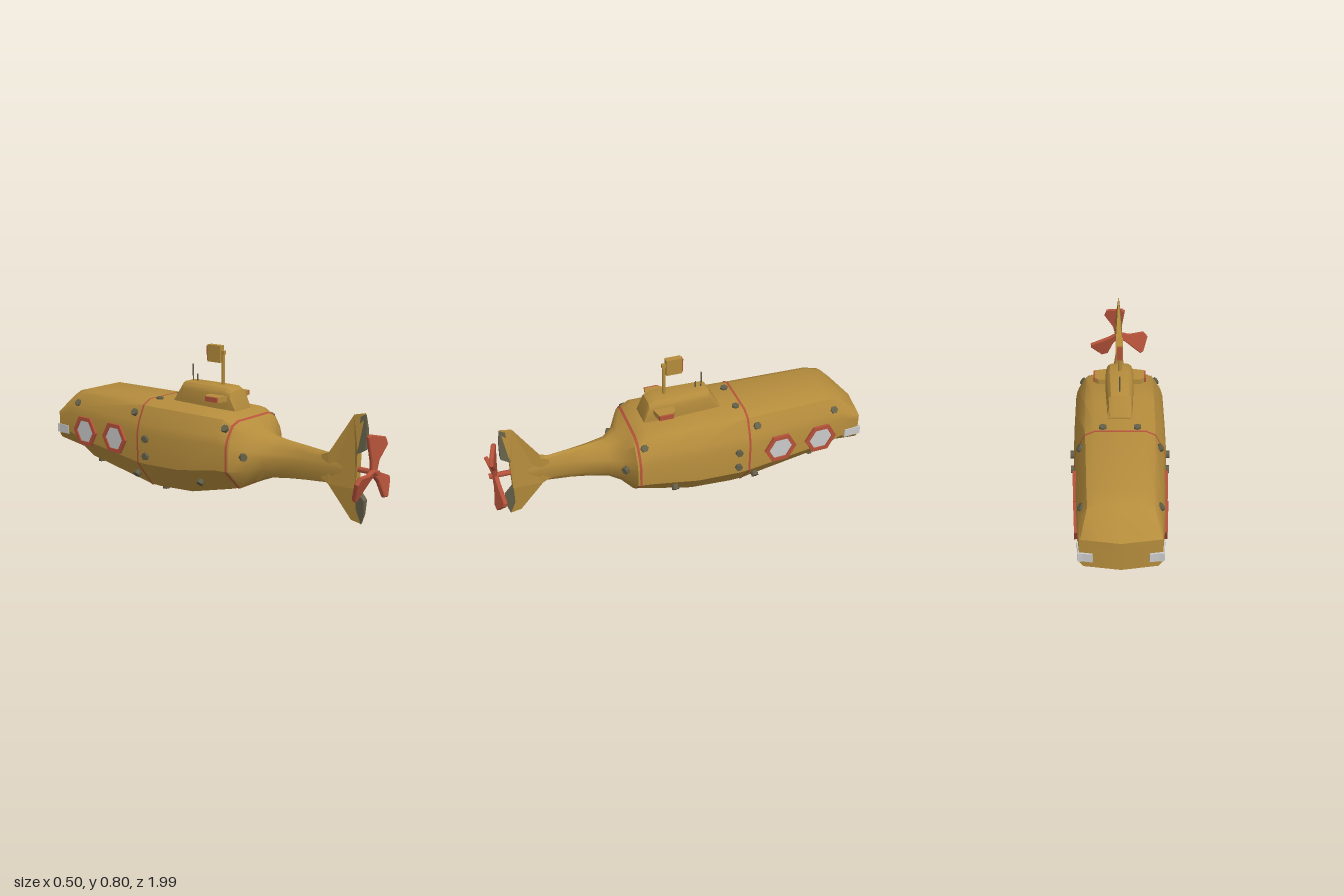
import * as THREE from 'three';
import { toCreasedNormals } from 'three/addons/utils/BufferGeometryUtils.js';

const mat = (name, color, side = THREE.FrontSide) => {
  const m = new THREE.MeshStandardMaterial({ color, side });
  m.name = name;
  return m;
};

// Half cross-sections as [fraction of half width, fraction of height], top centre to bottom centre
const HULL = [[0, 1], [.55, 1], [.76, .95], [.94, .77], [1, .65], [1, .31], [.5, 0], [0, 0]];
const NOSE = [[0, 1], [.5, 1], [.97, 1], [1, .97], [1, .8], [1, .15], [.9, 0], [0, 0]];
const TAIL = [[0, 1], [.4, .95], [.7, .82], [.92, .65], [1, .55], [.85, .25], [.45, .04], [0, 0]];
const TOWER = [[0, 1], [.4, 1], [.7, .97], [.9, .86], [1, .7], [1, .3], [1, 0], [0, 0]];

// Stations along the hull: z, half width, top, bottom, section
const HULL_RINGS = [
  [-.97, .19, .35, .195, NOSE], [-.87, .2, .468, .142, HULL], [-.79, .206, .49, .1, HULL],
  [-.34, .226, .49, .022, HULL], [-.28, .232, .49, .022, HULL], [-.05, .234, .49, .035, HULL],
  [.2, .232, .487, .096, HULL], [.27, .224, .448, .115, HULL], [.32, .15, .415, .138, TAIL],
  [.38, .092, .385, .163, TAIL], [.48, .055, .373, .178, TAIL], [.57, .035, .365, .188, TAIL],
  [.72, .021, .35, .2, TAIL], [.8, .016, .34, .21, TAIL],
];

// Closed ring of points from a station, mirrored left to right
function ringPoints([z, w, top, bottom, section], bow = 0) {
  const half = section.map(([fx, fy]) => [fx * w, bottom + fy * (top - bottom), z - bow * (1 - fx)]);
  return half.concat(half.slice(1, -1).reverse().map(([x, y, zz]) => [-x, y, zz]));
}

// Skin over a row of stations, with optional end caps
function loft(stations, { caps = true, bow = 0, crease = .65 } = {}) {
  const rings = stations.map((s, j) => ringPoints(s, j === 0 ? bow : 0));
  const n = rings[0].length, pos = [];
  const tri = (...pts) => pts.forEach(p => pos.push(...p));
  for (let j = 0; j < rings.length - 1; j++) {
    for (let i = 0; i < n; i++) {
      const k = (i + 1) % n;
      const a = rings[j][i], b = rings[j][k], c = rings[j + 1][k], d = rings[j + 1][i];
      tri(a, d, c);
      tri(a, c, b);
    }
  }
  if (caps) {
    [[0, bow], [rings.length - 1, 0]].forEach(([j, out]) => {
      const [z, , top, bottom] = stations[j];
      const centre = [0, (top + bottom) / 2, z - out];
      for (let i = 0; i < n; i++) {
        const a = rings[j][i], b = rings[j][(i + 1) % n];
        j === 0 ? tri(centre, a, b) : tri(centre, b, a);
      }
    });
  }
  const g = new THREE.BufferGeometry();
  g.setAttribute('position', new THREE.Float32BufferAttribute(pos, 3));
  return toCreasedNormals(g, crease);
}

// Hull station interpolated at z and grown outwards
function stationAt(z, grow = 0) {
  const i = Math.max(1, HULL_RINGS.findIndex(r => r[0] >= z));
  const a = HULL_RINGS[i - 1], b = HULL_RINGS[i];
  const t = (z - a[0]) / (b[0] - a[0]);
  const mix = k => a[k] + (b[k] - a[k]) * t;
  return [z, mix(1) + grow, mix(2) + grow, mix(3) - grow, HULL];
}

const polygon = pts => new THREE.Shape(pts.map(p => new THREE.Vector2(...p)));
const hexagon = r => Array.from({ length: 6 }, (_, i) => [r * Math.cos(i * Math.PI / 3), r * Math.sin(i * Math.PI / 3)]);

// Upright plate drawn in (z, y), thinning towards its upper and lower tips
function finPlate(pts, thickness) {
  const g = new THREE.ExtrudeGeometry(polygon(pts), { depth: thickness, bevelEnabled: false });
  g.translate(0, 0, -thickness / 2).rotateY(-Math.PI / 2);
  const p = g.attributes.position;
  for (let i = 0; i < p.count; i++) {
    const far = Math.max(0, Math.abs(p.getY(i) - .29) - .1) / .18;
    p.setX(i, p.getX(i) * Math.max(.08, 1 - far * .9));
  }
  g.computeVertexNormals();
  return g;
}

export function createModel() {
  const gold = mat('ochre hull', 0xb58c3c);
  const red = mat('rust red trim', 0xb5523a, THREE.DoubleSide);
  const dark = mat('dark olive metal', 0x646049);
  const pale = mat('pale glass', 0xcacaca);
  const model = new THREE.Group();
  model.name = 'submarine';
  const add = (name, geo, material, x = 0, y = 0, z = 0, parent = model) => {
    const m = new THREE.Mesh(geo, material);
    m.name = name;
    m.position.set(x, y, z);
    parent.add(m);
    return m;
  };
  const box = (name, w, h, d, material, x, y, z) => add(name, new THREE.BoxGeometry(w, h, d), material, x, y, z);

  // Hull and trim bands
  add('hull', loft(HULL_RINGS, { bow: .03 }), gold);
  for (const z of [-.34, .25]) {
    add('trimBand', loft([stationAt(z, .003), stationAt(z + .012, .003)], { caps: false }), red);
  }

  // Tail fin and rudders
  add('tailFin', finPlate([[.68, .22], [.68, .34], [.72, .355], [.845, .555], [.905, .57], [.878, .39],
    [.875, .2], [.9, .03], [.845, .04], [.72, .198]], .038), gold);
  add('upperRudder', finPlate([[.872, .37], [.92, .4], [.918, .5], [.908, .565], [.88, .55]], .04), dark);
  add('lowerRudder', finPlate([[.872, .2], [.872, .1], [.9, .028], [.915, .08], [.918, .15]], .04), dark);

  // Propeller
  const propeller = new THREE.Group();
  propeller.name = 'propeller';
  propeller.position.set(0, .295, .955);
  model.add(propeller);
  add('propellerShaft', new THREE.CylinderGeometry(.014, .014, .11, 8).rotateX(Math.PI / 2), red, 0, 0, -.025, propeller);
  const blade = new THREE.ExtrudeGeometry(
    polygon([[0, -.014], [.06, -.022], [.135, -.066], [.165, -.05], [.175, .04], [.165, .055], [.05, .02], [0, .014]]),
    { depth: .012, bevelEnabled: true, bevelThickness: .005, bevelSize: .004, bevelSegments: 1 });
  blade.translate(0, 0, -.006).rotateX(-.3);
  for (let i = 0; i < 3; i++) {
    add('propellerBlade', blade, red, 0, 0, 0, propeller).rotation.z = (83 + i * 120) * Math.PI / 180;
  }

  // Conning tower, planes, periscope and aerials
  add('conningTower', loft([[-.225, .058, .5, .47, TOWER], [-.168, .062, .595, .47, TOWER], [-.15, .064, .6, .47, TOWER],
    [.05, .073, .6, .47, TOWER], [.12, .07, .6, .47, TOWER], [.155, .068, .583, .47, TOWER],
    [.188, .064, .495, .47, TOWER]], { crease: .5 }), gold);
  const plane = new THREE.ExtrudeGeometry(polygon([[.04, .035], [.11, .035], [.127, .05], [.127, .125], [.04, .145]]),
    { depth: .028, bevelEnabled: false }).rotateX(Math.PI / 2);
  for (const s of [1, -1]) {
    const half = new THREE.Group();
    half.name = s > 0 ? 'leftPlane' : 'rightPlane';
    if (s < 0) {
      half.rotation.z = Math.PI;
      half.position.y = 1.092;
    }
    model.add(half);
    add('towerPlane', plane, gold, 0, .56, 0, half);
    add('planeTip', new THREE.BoxGeometry(.01, .024, .075), red, .131, .546, .088, half);
  }
  add('periscopePole', new THREE.CylinderGeometry(.009, .009, .19, 8), gold, 0, .68, .06);
  box('periscopeNeck', .018, .02, .03, gold, 0, .765, .055);
  box('periscopeHead', .032, .088, .082, gold, 0, .756, .009);
  box('periscopeLens', .026, .074, .008, red, 0, .756, -.035);
  for (const [z, h] of [[-.14, .085], [-.11, .035]]) {
    add('aerial', new THREE.CylinderGeometry(.004, .004, h, 6), dark, 0, .6 + h / 2, z);
  }

  // Hexagonal side windows
  const rimShape = polygon(hexagon(.09));
  rimShape.holes.push(new THREE.Path(hexagon(.066).map(p => new THREE.Vector2(...p))));
  const rim = new THREE.ExtrudeGeometry(rimShape, { depth: .026, bevelEnabled: false }).translate(0, 0, -.013);
  const glass = new THREE.ExtrudeGeometry(polygon(hexagon(.068)), { depth: .008, bevelEnabled: false });
  const forward = new THREE.Vector3(0, 0, 1), up = new THREE.Vector3(0, 1, 0);
  for (const s of [1, -1]) {
    for (const z of [-.507, -.74]) {
      const win = new THREE.Group();
      win.name = 'window';
      win.position.set(s * stationAt(z)[1], .27, z);
      win.quaternion.setFromUnitVectors(forward, new THREE.Vector3(s, 0, -.05).normalize());
      model.add(win);
      add('windowRim', rim, red, 0, 0, 0, win);
      add('windowGlass', glass, pale, 0, 0, -.002, win);
    }

    // Headlamps wrapping the nose corners
    box('headlampSide', .024, .046, .095, pale, s * .187, .253, -.935).rotation.y = s * .09;
    box('headlampFront', .07, .046, .024, pale, s * .162, .253, -.971).rotation.y = -s * .15;

    // Hull bolts: position, then outward direction
    const bolts = [
      [[.19, .425, .225], [.75, .65, 0]], [[.195, .425, -.38], [.8, .6, 0]], [[.18, .412, -.82], [.8, .6, 0]],
      [[.236, .305, -.27], [1, 0, 0]], [[.236, .212, -.27], [1, 0, 0]], [[.167, .292, .318], [.5, 0, .85]],
      [[.184, .122, .06], [.75, -.65, 0]], [[.172, .086, -.39], [.8, -.6, 0]],
      [[.07, .013, -.275], [0, -1, 0]], [[.085, .088, -.745], [0, -1, 0]], [[.085, .488, -.3], [0, 1, 0]],
    ];
    for (const [p, d] of bolts) {
      add('bolt', new THREE.CylinderGeometry(.02, .02, .026, 6), dark, s * p[0], p[1], p[2])
        .quaternion.setFromUnitVectors(up, new THREE.Vector3(s * d[0], d[1], d[2]).normalize());
    }
  }
  return model;
}
